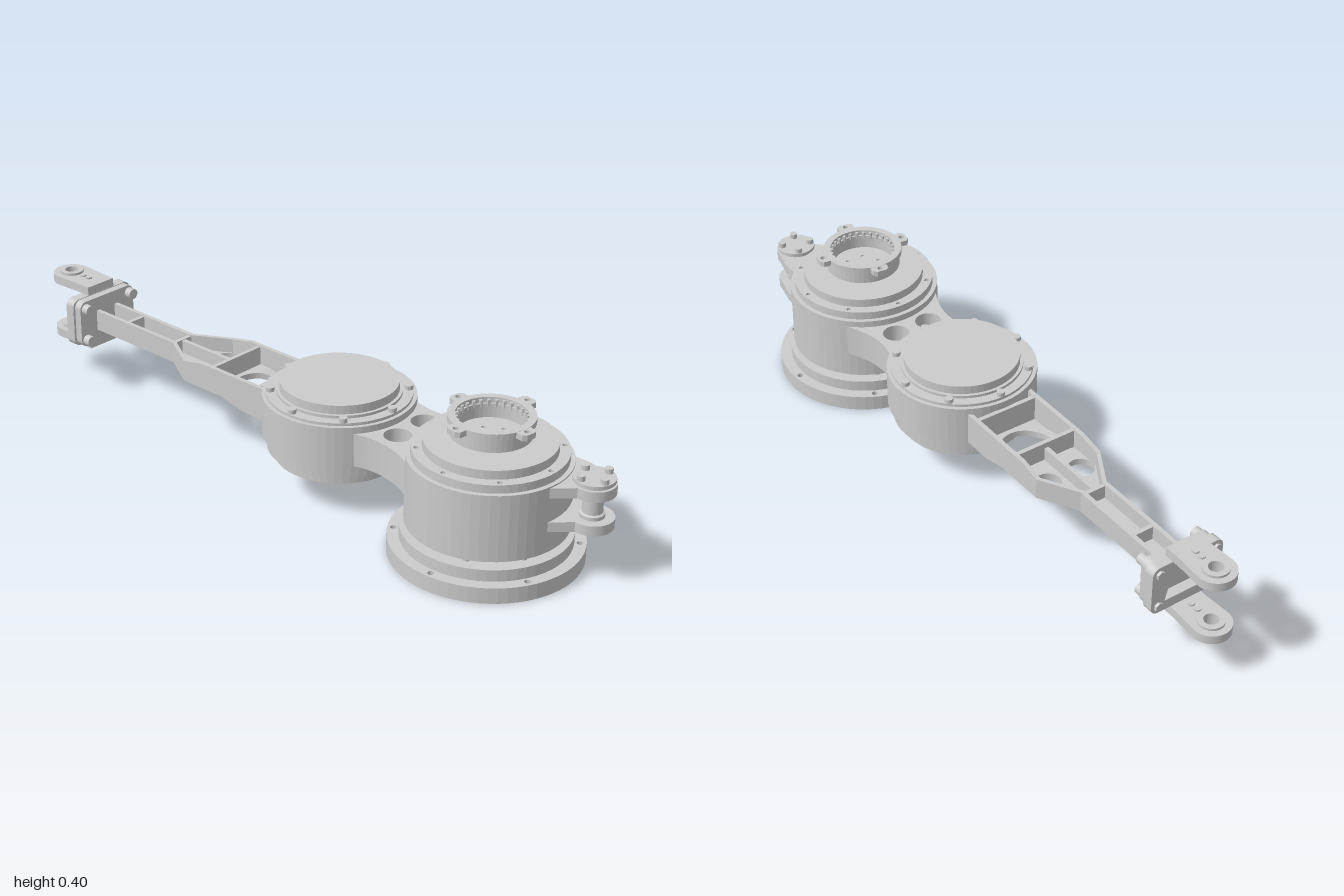
import * as THREE from 'three';

const mat = new THREE.MeshStandardMaterial({ color: 0xcccccc, flatShading: true });
const V = (x, y) => new THREE.Vector2(x, y);
const BASE_Z = 0.667, ELBOW_Z = 0.15;

export function createModel() {
  const root = new THREE.Group();
  const add = (name, geo, x = 0, y = 0, z = 0, parent = root) => {
    const m = new THREE.Mesh(geo, mat);
    m.name = name;
    m.position.set(x, y, z);
    parent.add(m);
    return m;
  };
  const lathe = (pts, seg = 56) => new THREE.LatheGeometry(pts.map(p => V(...p)), seg);
  const hole = (shape, x, y, r) => shape.holes.push(new THREE.Path().absarc(x, y, r, 0, Math.PI * 2, true));
  const disc = (r, x = 0, y = 0) => new THREE.Shape().absarc(x, y, r, 0, Math.PI * 2, false);
  // horizontal plate from a plan shape drawn in (x, -z)
  const slab = (shape, y0, y1, seg = 24) => new THREE.ExtrudeGeometry(shape, { depth: y1 - y0, bevelEnabled: false, curveSegments: seg })
    .rotateX(-Math.PI / 2).translate(0, y0, 0);
  const cyl = (r, y0, y1, seg = 20) => new THREE.CylinderGeometry(r, r, y1 - y0, seg).translate(0, (y0 + y1) / 2, 0);
  const ring = (n, r, fn, a0 = 0) => {
    for (let i = 0; i < n; i++) {
      const a = a0 + i * Math.PI * 2 / n;
      fn(Math.cos(a) * r, Math.sin(a) * r, a);
    }
  };

  // ---- base joint ----
  const base = new THREE.Group();
  base.name = 'baseJoint';
  base.position.z = BASE_Z;
  root.add(base);
  const foot = disc(0.26);
  hole(foot, 0, 0, 0.205);
  ring(6, 0.243, (x, y) => hole(foot, x, y, 0.009), 0.06);
  add('footFlange', slab(foot, 0, 0.045, 32), 0, 0, 0, base);
  add('baseRing', lathe([[0.115, 0.008], [0.17, 0.008], [0.17, 0.014], [0.206, 0.014], [0.206, 0.045], [0.228, 0.045], [0.228, 0.078],
    [0.178, 0.078], [0.178, 0.1], [0.115, 0.1], [0.115, 0.008]]), 0, 0, 0, base);
  add('baseHousing', lathe([[0.115, 0.095], [0.217, 0.095], [0.217, 0.284], [0.204, 0.284], [0.204, 0.3], [0.1, 0.3], [0, 0.3],
    [0, 0.295], [0.115, 0.295], [0.115, 0.095]]), 0, 0, 0, base);
  const step = disc(0.204);
  hole(step, 0, 0, 0.16);
  ring(8, 0.19, (x, y) => hole(step, x, y, 0.007));
  add('housingStep', slab(step, 0.299, 0.307, 32), 0, 0, 0, base);
  add('housingCap', cyl(0.175, 0.3, 0.332, 56), 0, 0, 0, base);
  const hub = disc(0.07);
  ring(6, 0.052, (x, y) => hole(hub, x, y, 0.006));
  add('outputHub', slab(hub, 0.331, 0.336), 0, 0, 0, base);
  ring(8, 0.188, (x, z) => add('neckBolt', cyl(0.01, 0.077, 0.096, 10), x, 0, z, base), Math.PI / 8);

  // ---- quick-change collar above the base ----
  const collar = new THREE.Group();
  collar.name = 'collar';
  collar.rotation.y = -0.14;
  base.add(collar);
  add('collarSleeve', lathe([[0.088, 0.345], [0.107, 0.345], [0.107, 0.384], [0.088, 0.384], [0.088, 0.345]], 48), 0, 0, 0, collar);
  const rim = disc(0.114);
  hole(rim, 0, 0, 0.094);
  add('collarRim', slab(rim, 0.383, 0.4), 0, 0, 0, collar);
  ring(4, 0.122, (x, z, a) => {
    const lug = new THREE.Shape([V(-0.012, -0.024), V(0.01, -0.024), V(0.018, -0.014), V(0.018, 0.014), V(0.01, 0.024), V(-0.012, 0.024)]);
    hole(lug, 0.003, 0, 0.008);
    add('collarLug', slab(lug, 0.3835, 0.3995, 10), x, 0, z, collar).rotation.y = -a;
  });
  ring(28, 0.091, (x, z) => add('collarTooth', cyl(0.005, 0.375, 0.395, 6), x, 0, z, collar));

  // ---- pivot pin and its two lugs on the front of the base ----
  const px = 0.072, pz = 0.94;
  const lugShape = new THREE.Shape();
  lugShape.moveTo(-0.04, -0.82);
  lugShape.lineTo(-0.04, -0.875);
  lugShape.lineTo(px - 0.058, -pz + 0.01);
  lugShape.absarc(px, -pz, 0.058, Math.PI, Math.PI * 2, false);
  lugShape.lineTo(0.145, -0.875);
  lugShape.lineTo(0.145, -0.82);
  add('lowerLug', slab(lugShape, 0.155, 0.183));
  add('upperLug', slab(lugShape, 0.251, 0.28));
  add('pivotPin', lathe([[0, 0.18], [0.033, 0.18], [0.033, 0.193], [0.027, 0.196], [0.027, 0.238], [0.033, 0.242], [0.033, 0.252], [0, 0.252]], 28), px, 0, pz);
  add('pinCap', lathe([[0, 0.279], [0.05, 0.279], [0.05, 0.284], [0.055, 0.284], [0.055, 0.294], [0, 0.294]], 32), px, 0, pz);
  ring(4, 0.042, (x, z) => add('capBolt', cyl(0.011, 0.293, 0.308, 12), px + x, 0, pz + z), 0.35);

  // ---- first link, waisted, with two lightening holes ----
  const link = new THREE.Shape();
  link.moveTo(-0.17, -0.54);
  link.lineTo(0.17, -0.54);
  link.quadraticCurveTo(0.076, -0.4, 0.15, -0.27);
  link.lineTo(-0.15, -0.27);
  link.quadraticCurveTo(-0.076, -0.4, -0.17, -0.54);
  for (const s of [-1, 1]) hole(link, s * 0.055, -0.405, 0.038);
  add('firstLink', slab(link, 0.17, 0.265));

  // ---- elbow joint ----
  const elbow = new THREE.Group();
  elbow.name = 'elbowJoint';
  elbow.position.z = ELBOW_Z;
  root.add(elbow);
  add('elbowHousing', lathe([[0, 0.099], [0.177, 0.099], [0.177, 0.126], [0.197, 0.126], [0.197, 0.168], [0.211, 0.168], [0.211, 0.284],
    [0.2, 0.284], [0.2, 0.292], [0.172, 0.292], [0.172, 0.3], [0.163, 0.3], [0.163, 0.325], [0, 0.325]]), 0, 0, 0, elbow);
  const plate = disc(0.07);
  ring(5, 0.045, (x, y) => hole(plate, x, y, 0.006));
  add('elbowBottomPlate', slab(plate, 0.095, 0.1), 0, 0, 0, elbow);
  ring(8, 0.188, (x, z) => add('elbowBolt', cyl(0.012, 0.29, 0.304, 12), x, 0, z, elbow));

  // ---- second link: open-topped channel; stations are z, half width, bottom, top ----
  const arm = new THREE.Group();
  arm.name = 'secondLink';
  root.add(arm);
  const st = [[-0.02, 0.105, 0.17, 0.265], [-0.12, 0.105, 0.17, 0.265], [-0.2, 0.105, 0.188, 0.265], [-0.28, 0.105, 0.188, 0.265],
    [-0.35, 0.105, 0.188, 0.25], [-0.46, 0.042, 0.188, 0.25], [-0.79, 0.042, 0.188, 0.25]];
  const at = z => {
    let i = 0;
    while (i < st.length - 2 && z < st[i + 1][0]) i++;
    const t = THREE.MathUtils.clamp((z - st[i][0]) / (st[i + 1][0] - st[i][0]), 0, 1);
    return st[i].map((v, k) => v + (st[i + 1][k] - v) * t);
  };
  const reshape = (geo, rule) => {
    const p = geo.attributes.position;
    for (let i = 0; i < p.count; i++) p.setXYZ(i, ...rule(p.getX(i), p.getY(i), p.getZ(i)));
    geo.computeVertexNormals();
    return geo;
  };
  const T = 0.013;
  for (const s of [-1, 1]) for (let i = 0; i < st.length - 1; i++) {
    add('sideWall', reshape(new THREE.BoxGeometry(1, 1, 1), (x, y, z) => {
      const [sz, w, lo, hi] = z > 0 ? st[i] : st[i + 1];
      return [s * (w - T / 2) + x * T, y > 0 ? hi : lo, sz];
    }), 0, 0, 0, arm);
  }
  const edge = st.map(([z, w]) => V(w - 0.004, -z));
  const floor = new THREE.Shape([...edge, ...edge.map(p => V(-p.x, p.y)).reverse()]);
  hole(floor, 0, 0.155, 0.068);
  for (const s of [-1, 1]) hole(floor, s * 0.055, 0.335, 0.037);
  add('floor', reshape(slab(floor, 0, 0.018), (x, y, z) => [x, y + at(z)[2] + 0.001, z]), 0, 0, 0, arm);
  for (const z of [-0.065, -0.245, -0.465, -0.665]) {
    const [, w, lo, hi] = at(z);
    add('crossRib', new THREE.BoxGeometry(2 * w - T, hi - lo - 0.006, T), 0, (lo + hi) / 2, z, arm);
  }
  add('middleRib', new THREE.BoxGeometry(T, 0.055, 0.22), 0, 0.218, -0.355, arm);

  // ---- wrist: bolted plate and fork ----
  const wrist = new THREE.Group();
  wrist.name = 'wristFork';
  root.add(wrist);
  const upright = (shape, z0, z1) => new THREE.ExtrudeGeometry(shape, { depth: z1 - z0, bevelEnabled: false, curveSegments: 8 }).translate(0, 0, z0);
  const roundRect = (w, h, r) => {
    const s = new THREE.Shape();
    s.absarc(w - r, h - r, r, 0, Math.PI / 2);
    s.absarc(r - w, h - r, r, Math.PI / 2, Math.PI);
    s.absarc(r - w, r - h, r, Math.PI, Math.PI * 1.5);
    s.absarc(w - r, r - h, r, Math.PI * 1.5, Math.PI * 2);
    return s;
  };
  const WY = 0.22;
  add('mountPlate', upright(roundRect(0.105, 0.072, 0.022), -0.815, -0.79), 0, WY, 0, wrist);
  const forkPlate = roundRect(0.112, 0.074, 0.022);
  forkPlate.holes.push(new THREE.Path([V(-0.07, -0.045), V(-0.045, 0.05), V(0.045, 0.05), V(0.07, -0.045)]));
  add('forkPlate', upright(forkPlate, -0.845, -0.814), 0, WY, 0, wrist);
  for (const sx of [-1, 1]) for (const sy of [-1, 1]) {
    add('plateBolt', cyl(0.016, -0.01, 0.012, 14).rotateX(Math.PI / 2), sx * 0.086, WY + sy * 0.05, -0.778, wrist);
    add('plateNut', cyl(0.013, -0.005, 0.005, 6).rotateX(Math.PI / 2), sx * 0.09, WY + sy * 0.052, -0.848, wrist);
  }
  const prong = new THREE.Shape();
  prong.moveTo(-0.05, 0.815);
  prong.lineTo(0.05, 0.815);
  prong.lineTo(0.05, 0.865);
  prong.absarc(0, 0.945, 0.055, 0, Math.PI, false);
  prong.lineTo(-0.05, 0.865);
  hole(prong, 0, 0.945, 0.027);
  for (const s of [-1, 1]) {
    const y = WY + s * 0.087;
    add('forkProng', slab(prong, y - 0.013, y + 0.013), 0, 0, 0, wrist);
    add('prongBush', lathe([[0.02, -0.02], [0.036, -0.02], [0.036, 0.02], [0.02, 0.02], [0.02, -0.02]], 28), 0, y, -0.945, wrist);
    for (const z of [-0.868, -0.892]) add('prongBolt', cyl(0.01, -0.018, 0.018, 10), 0, y, z, wrist);
  }
  return root;
}
